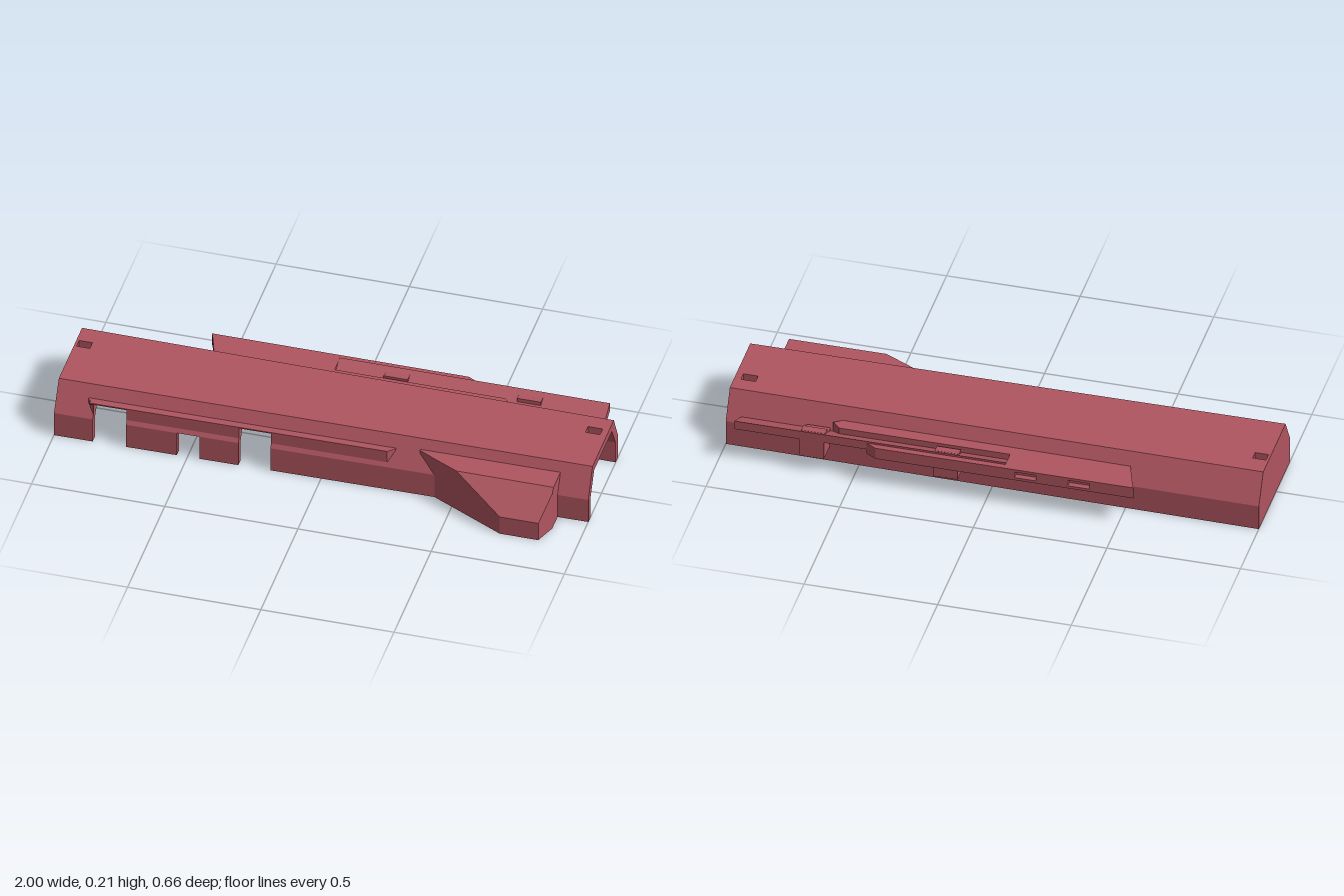
import * as THREE from 'three';

const red = new THREE.MeshStandardMaterial({ color: 0xb05560 });
red.name = 'dusty red';

// Loft through sections [x, [[z, y], ...]] with equal point counts, capped at both ends
function loft(sections) {
  let rings = sections.map(([x, pts]) => ({ x, p: pts.map(([z, y]) => new THREE.Vector2(y, z)) }));
  const areas = rings.map((r) => THREE.ShapeUtils.area(r.p));
  const main = areas.reduce((a, b) => (Math.abs(b) > Math.abs(a) ? b : a), 0);
  if (main < 0) rings.forEach((r) => r.p.reverse());
  const pos = [];
  const put = (r, i) => pos.push(r.x, r.p[i].x, r.p[i].y);
  for (let s = 0; s + 1 < rings.length; s++) {
    const a = rings[s], b = rings[s + 1], n = a.p.length;
    for (let i = 0; i < n; i++) {
      const j = (i + 1) % n;
      put(a, i); put(a, j); put(b, j);
      put(a, i); put(b, j); put(b, i);
    }
  }
  const first = rings[0], last = rings[rings.length - 1];
  for (const [i, j, k] of THREE.ShapeUtils.triangulateShape(first.p, [])) { put(first, i); put(first, k); put(first, j); }
  for (const [i, j, k] of THREE.ShapeUtils.triangulateShape(last.p, [])) { put(last, i); put(last, j); put(last, k); }
  const g = new THREE.BufferGeometry();
  g.setAttribute('position', new THREE.Float32BufferAttribute(pos, 3));
  g.computeVertexNormals();
  return g;
}

// Plan outline [x, z] raised from y0 to y1
function slab(plan, y0, y1) {
  const shape = new THREE.Shape(plan.map(([x, z]) => new THREE.Vector2(x, -z)));
  const g = new THREE.ExtrudeGeometry(shape, { depth: y1 - y0, bevelEnabled: false });
  return g.rotateX(-Math.PI / 2).translate(0, y0, 0);
}

function box(x0, x1, y0, y1, z0, z1) {
  return new THREE.BoxGeometry(x1 - x0, y1 - y0, z1 - z0).translate((x0 + x1) / 2, (y0 + y1) / 2, (z0 + z1) / 2);
}

// Tapering body outline at x, from the back foot over the roof to the front foot
const mix = (a, b, x) => a + ((b - a) * (x + 1)) / 2;
const frontZ = (x) => mix(0.198, 0.178, x);
function outer(x) {
  const b = mix(-0.243, -0.223, x), f = frontZ(x);
  const tb = mix(-0.18, -0.166, x), tf = mix(0.132, 0.12, x);
  return [[b, 0], [b, 0.1], [tb, 0.21], [tf, 0.21], [f, 0.1], [f, 0]];
}
function inner(x) {
  const [a, , c, d, e] = outer(x).map((p) => p[0]);
  return [[a + 0.032, 0], [a + 0.032, 0.09], [c + 0.026, 0.178], [d - 0.022, 0.178], [e - 0.032, 0.09], [e - 0.032, 0]];
}
// Raise the front foot of an outline to height c
function cutFront(path, c) {
  const p = path.map((q) => [...q]), [roof, knee, foot] = p.slice(3);
  if (c > knee[1]) {
    const t = (c - knee[1]) / (roof[1] - knee[1]);
    knee[0] += (roof[0] - knee[0]) * t;
    knee[1] = c;
    foot[0] = knee[0];
  }
  foot[1] = c;
  return p;
}
function shellSection(x, c) {
  return [...cutFront(outer(x), c), ...cutFront(inner(x), c).reverse()];
}

export function createModel() {
  const model = new THREE.Group();
  const add = (name, geometry, parent = model) => {
    const m = new THREE.Mesh(geometry, red);
    m.name = name;
    parent.add(m);
    return m;
  };

  // Hollow body in lengths; c is how high the front wall is cut away
  const shell = new THREE.Group();
  shell.name = 'bodyShell';
  model.add(shell);
  const lengths = [
    [-1, -0.99, 0], [-0.94, -0.855, 0], [-0.855, -0.73, 0.16], [-0.73, -0.54, 0], [-0.54, -0.455, 0.1],
    [-0.455, -0.31, 0], [-0.31, -0.19, 0.16], [-0.19, 0.45, 0], [0.45, 0.865, 0.15], [0.865, 0.92, 0], [0.975, 1, 0],
  ];
  for (const [x0, x1, c] of lengths) {
    add('shellLength', loft([x0, x1].map((x) => [x, shellSection(x, c)])), shell);
  }

  // Roof slots: the shell is split either side of a small pocket
  const h0 = -0.105, h1 = -0.07;
  for (const [x0, x1] of [[-0.99, -0.94], [0.92, 0.975]]) {
    add('slotBackSide', loft([x0, x1].map((x) => {
      const o = outer(x), n = inner(x);
      return [x, [o[0], o[1], o[2], [h0, 0.21], [h0, 0.178], n[2], n[1], n[0]]];
    })), shell);
    add('slotFrontSide', loft([x0, x1].map((x) => {
      const o = outer(x), n = inner(x);
      return [x, [[h1, 0.21], o[3], o[4], o[5], n[5], n[4], n[3], [h1, 0.178]]];
    })), shell);
    add('slotPocket', box(x0 - 0.01, x1 + 0.01, 0.168, 0.178, -0.11, -0.06));
  }
  add('endWall', loft([-1, -0.97].map((x) => [x, inner(x)])));

  // Lengthwise ribs under the roof
  add('thinRib', box(-0.97, 0.9, 0.08, 0.18, 0.042, 0.053));
  add('thickRib', box(-0.97, 0.9, 0.08, 0.18, -0.11, -0.088));

  // Front rail, broken over the tall openings and joined by a thin top strip
  const railSection = (x) => {
    const z = frontZ(x) - 0.009;
    return [x, [[0.135, 0.165], [z, 0.165], [z, 0.115], [0.155, 0.115]]];
  };
  add('frontRail', loft([-0.73, -0.31].map(railSection)));
  add('frontRail', loft([
    railSection(-0.19), railSection(0.245),
    [0.27, [[0.135, 0.165], [0.153, 0.165], [0.153, 0.164], [0.15, 0.115]]],
  ]));
  add('frontRailEnd', loft([
    [-0.88, [[0.135, 0.165], [0.165, 0.165], [0.165, 0.135], [0.155, 0.135]]], railSection(-0.855),
  ]));
  add('railTopStrip', loft([-0.87, -0.18].map((x) => {
    const z = frontZ(x) - 0.009;
    return [x, [[0.135, 0.165], [z, 0.165], [z, 0.16], [0.135, 0.16]]];
  })));

  // Hollow side bulge with a sloping upper face
  const bulge = [[0.36, 0.15], [0.43, 0.187], [0.52, 0.233], [0.71, 0.331], [0.855, 0.331], [0.885, 0.25]];
  const topAt = (z) => 0.174 - Math.max(0, z - 0.233);
  add('sideBulge', loft(bulge.map(([x, z]) => {
    const k = Math.min(z, 0.233), zi = Math.max(z - 0.03, 0.149), ki = Math.max(k - 0.012, 0.149);
    return [x, [[0.135, 0.174], [k, 0.174], [z, topAt(z)], [z, 0],
      [zi, 0], [zi, topAt(z) - 0.02], [Math.min(ki, zi), 0.15], [0.135, 0.15]]];
  })));
  add('bulgeEndWall', loft([[0.86, 0.315], [0.885, 0.25]].map(([x, z]) =>
    [x, [[0.135, 0.173], [0.233, 0.173], [z, topAt(z) - 0.001], [z, 0], [0.15, 0]]])));

  // Back shelf with a long channel
  add('backShelf', slab([
    [-0.546, -0.312], [-0.07, -0.312], [-0.07, -0.245], [0.57, -0.245], [0.6, -0.215], [0.57, -0.195], [-0.51, -0.205],
  ], 0.117, 0.163));

  // Outer strip of the shelf with two windows and slanted ends
  const strip = new THREE.Shape();
  strip.moveTo(-0.546, 0.117).lineTo(0.45, 0.117).lineTo(0.45, 0.163).lineTo(-0.546, 0.163).closePath();
  for (const x of [-0.35, -0.15]) {
    const w = new THREE.Path();
    w.moveTo(x - 0.04, 0.128).lineTo(x - 0.04, 0.152).lineTo(x + 0.04, 0.152).lineTo(x + 0.04, 0.128).closePath();
    strip.holes.push(w);
  }
  const stripGeo = new THREE.ExtrudeGeometry(strip, { depth: 0.023, bevelEnabled: false }).translate(0, 0, -0.334);
  const sp = stripGeo.attributes.position;
  for (let i = 0; i < sp.count; i++) {
    if (sp.getZ(i) > -0.32) continue;
    if (sp.getX(i) > 0.4) sp.setX(i, 0.41);
    if (sp.getX(i) < -0.5) sp.setX(i, -0.555);
  }
  stripGeo.computeVertexNormals();
  add('shelfOuterStrip', stripGeo);

  // Tilted plate in the channel and the blocks that carry it
  add('tiltedPlate', loft([-0.07, 0.945].map((x) =>
    [x, [[-0.208, 0.12], [-0.31, 0.17], [-0.31, 0.135], [-0.222, 0.1]]])));
  for (const x of [0.11, 0.61]) {
    add('plateBlock', box(x, x + 0.09, 0.062, 0.136, -0.31, -0.215));
    add('plateBlockTop', box(x, x + 0.09, 0.13, 0.161, -0.29, -0.26));
  }
  return model;
}
